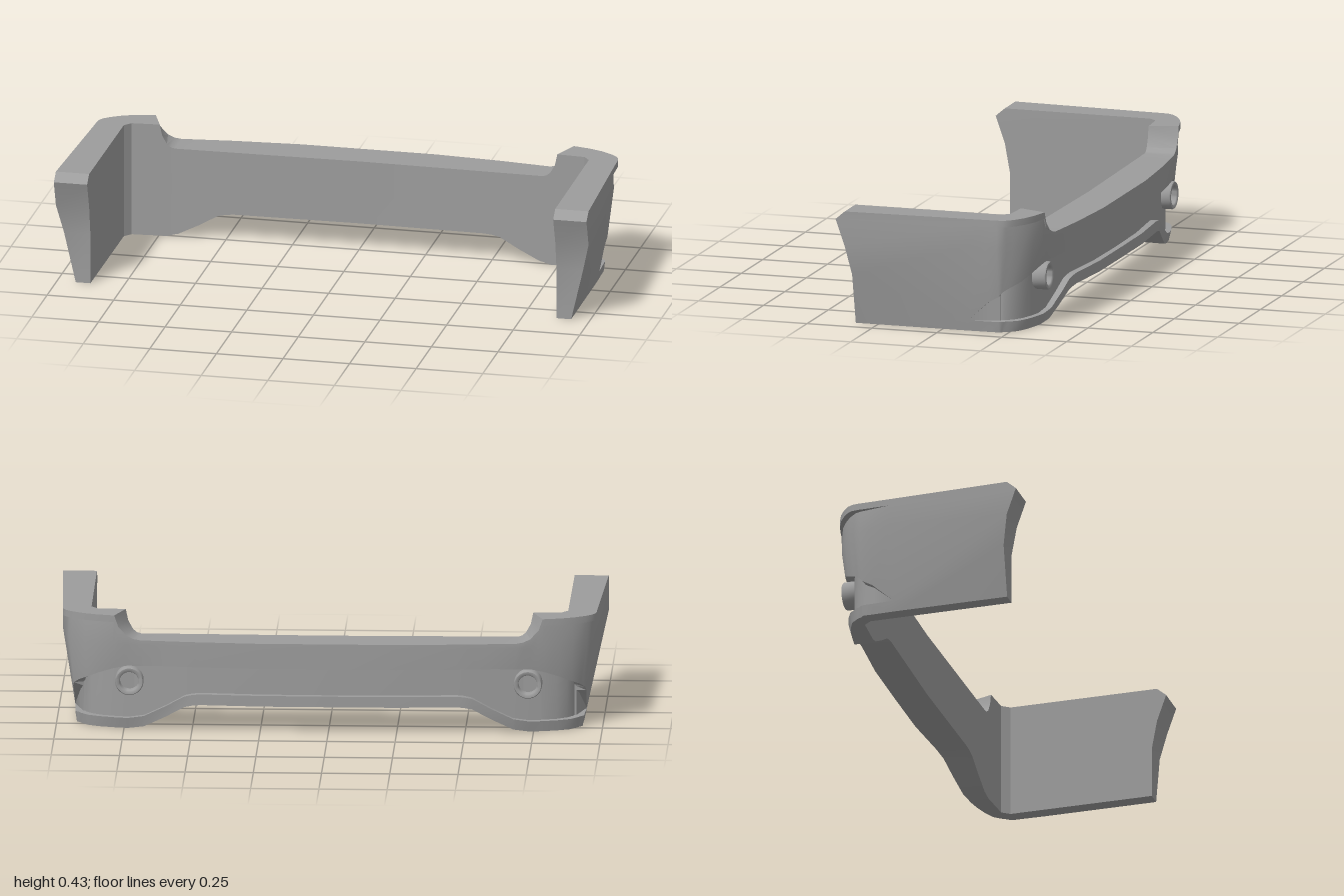
import * as THREE from 'three';
import { toCreasedNormals } from 'three/addons/utils/BufferGeometryUtils.js';

const material = new THREE.MeshStandardMaterial({ color: 0x9c9c9c });

// Piecewise linear lookup: rows are [t, value], t runs from the middle round to the arm tip
function look(rows, t, column = 1) {
  let i = 1;
  while (i < rows.length - 1 && rows[i][0] < t) i++;
  const a = rows[i - 1], b = rows[i];
  const k = THREE.MathUtils.clamp((t - a[0]) / (b[0] - a[0]), 0, 1);
  return a[column] + (b[column] - a[column]) * k;
}

const TIP = 1.65;
// Plan outlines: [t, x, z]
const outerPlan = [[0, 0, -0.395], [0.25, 0.25, -0.395], [0.5, 0.5, -0.378], [0.69, 0.69, -0.357],
  [0.79, 0.79, -0.344], [0.85, 0.85, -0.33], [0.91, 0.9, -0.31], [0.96, 0.94, -0.285],
  [0.99, 0.963, -0.264], [1.01, 0.974, -0.246], [1.04, 0.978, -0.22], [1.08, 0.979, -0.18],
  [1.16, 0.982, -0.1], [TIP, 1, 0.39]];
const innerPlan = [[0, 0, -0.256], [0.69, 0.69, -0.245], [0.96, 0.85, -0.234], [1.01, 0.873, -0.205],
  [TIP, 0.875, 0.39]];
// Heights
const topY = [[0, 0.34], [0.69, 0.34], [0.715, 0.344], [0.74, 0.356], [0.77, 0.388], [0.785, 0.43], [TIP, 0.43]];
const bottomY = [[0, 0.1], [0.47, 0.1], [0.5, 0.097], [0.53, 0.09], [0.6, 0.05], [0.68, 0.01], [0.74, 0], [TIP, 0]];
const flangeH = [[0, 0.004], [0.74, 0.004], [0.785, 0.025], [1.16, 0.025], [TIP, 0.03]];
const creaseY = [[0, 0.32], [1.16, 0.325], [TIP, 0.3]];
const grooveTopY = [[0, 0.245], [0.6, 0.245], [0.74, 0.24], [0.79, 0.228], [0.85, 0.207], [0.91, 0.185],
  [0.96, 0.168], [1.01, 0.15], [1.08, 0.113], [1.16, 0.04], [TIP, 0.19]];
// Insets from the outer outline
const flangeIn = [[0, 0], [0.74, 0], [0.79, 0.005], [0.91, 0.02], [0.99, 0.026], [1.04, 0.018], [1.16, 0], [TIP, 0]];
const creaseIn = [[0, 0], [0.69, 0], [0.79, 0.004], [0.91, 0.014], [0.99, 0.024], [1.04, 0.014], [1.16, 0], [TIP, 0]];
const bandIn = [[0, 0], [0.6, 0.003], [0.74, 0.012], [0.91, 0.027], [0.99, 0.043], [1.04, 0.038], [1.16, 0.045],
  [TIP, 0.026]];
const grooveIn = [[0, 0.036], [0.74, 0.047], [0.85, 0.055], [0.91, 0.064], [0.99, 0.084], [1.04, 0.075],
  [1.16, 0.045], [TIP, 0.026]];
const lipIn = [[0, 0.015], [0.5, 0.017], [0.74, 0.025], [0.91, 0.035], [0.99, 0.054], [1.04, 0.046],
  [1.16, 0.045], [TIP, 0.026]];
const footIn = [[0, 0.015], [0.5, 0.017], [0.74, 0.036], [0.91, 0.042], [0.99, 0.06], [1.04, 0.052],
  [1.16, 0.053], [TIP, 0.07]];
// Side outline of the arm tip: [y, z]
const tipZ = [[0, 0.335], [0.19, 0.335], [0.3, 0.355], [0.4, 0.39], [0.43, 0.355]];

// Closed cross-section: five points up the inner wall, nine down the outer face
function section(t, side) {
  const at = (rows) => look(rows, t);
  const top = at(topY), bottom = at(bottomY);
  const ox = at(outerPlan), oz = look(outerPlan, t, 2);
  const lo = Math.max(0, t - 0.03), hi = Math.min(TIP, t + 0.03);
  const dx = look(outerPlan, hi) - look(outerPlan, lo);
  const dz = look(outerPlan, hi, 2) - look(outerPlan, lo, 2);
  const len = Math.hypot(dx, dz);
  const points = [];
  const add = (x, y, z) => points.push([side * x, y, t === TIP ? look(tipZ, y) : z]);
  const outer = (y, inset) => add(ox - inset * dz / len, y, oz + inset * dx / len);

  for (const y of [0, 0.19, 0.3, 0.4, 0.43]) {
    add(at(innerPlan), bottom + (top - bottom) * y / 0.43, look(innerPlan, t, 2));
  }
  const flange = top - at(flangeH);
  const grooveBottom = t > 1.16 ? at(grooveTopY) : bottom + 0.04;
  outer(top, 0);
  outer(flange, 0);
  outer(flange, at(flangeIn));
  outer(at(creaseY), at(creaseIn));
  outer(at(grooveTopY), at(bandIn));
  outer(at(grooveTopY), at(grooveIn));
  outer(grooveBottom, at(grooveIn));
  outer(grooveBottom, at(lipIn));
  outer(bottom, at(footIn));
  return points;
}

function bumperGeometry() {
  const tables = [outerPlan, innerPlan, topY, bottomY, grooveTopY, bandIn, lipIn];
  const keys = [...new Set(tables.flat().map((row) => row[0]))].sort((a, b) => a - b);
  const rings = [...keys.slice(1).reverse().map((t) => section(t, -1)), ...keys.map((t) => section(t, 1))];
  const positions = [];
  const triangle = (...corners) => {
    const [a, b, c] = corners.map((p) => new THREE.Vector3(...p));
    const area = b.clone().sub(a).cross(c.clone().sub(a)).length();
    if (area > 1e-8) positions.push(...corners.flat());
  };
  const quad = (a, b, c, d) => { triangle(a, b, c); triangle(a, c, d); };

  // Skin between neighbouring sections
  for (let r = 0; r < rings.length - 1; r++) {
    const a = rings[r], b = rings[r + 1];
    for (let i = 0; i < a.length; i++) {
      const j = (i + 1) % a.length;
      quad(a[i], b[i], b[j], a[j]);
    }
  }
  // Arm tips: inner points paired with outer points of the same height
  const pairs = [[0, 13], [1, 9], [2, 8], [3, 6], [4, 5]];
  const left = rings[rings.length - 1], right = rings[0];
  for (let i = 0; i < 4; i++) {
    const [a, b] = pairs[i], [d, c] = pairs[i + 1];
    quad(left[a], left[b], left[c], left[d]);
    quad(right[b], right[a], right[d], right[c]);
  }
  const geometry = new THREE.BufferGeometry();
  geometry.setAttribute('position', new THREE.Float32BufferAttribute(positions, 3));
  return toCreasedNormals(geometry, 0.62);
}

export function createModel() {
  const group = new THREE.Group();
  group.name = 'rearBumper';

  const shell = new THREE.Mesh(bumperGeometry(), material);
  shell.name = 'bumperShell';
  group.add(shell);

  // Hollow round fittings in the groove near each corner
  const profile = [[0.052, 0], [0.052, 0.046], [0.049, 0.051], [0.038, 0.051], [0.035, 0.047], [0.035, 0.012], [0, 0.012]]
    .map(([r, y]) => new THREE.Vector2(r, y));
  const ring = toCreasedNormals(new THREE.LatheGeometry(profile, 32), 0.95);
  for (const side of [-1, 1]) {
    const fitting = new THREE.Mesh(ring, material);
    fitting.name = side > 0 ? 'leftRoundFitting' : 'rightRoundFitting';
    fitting.position.set(side * 0.73, 0.182, -0.295);
    fitting.rotation.x = -Math.PI / 2;
    group.add(fitting);
  }
  return group;
}
